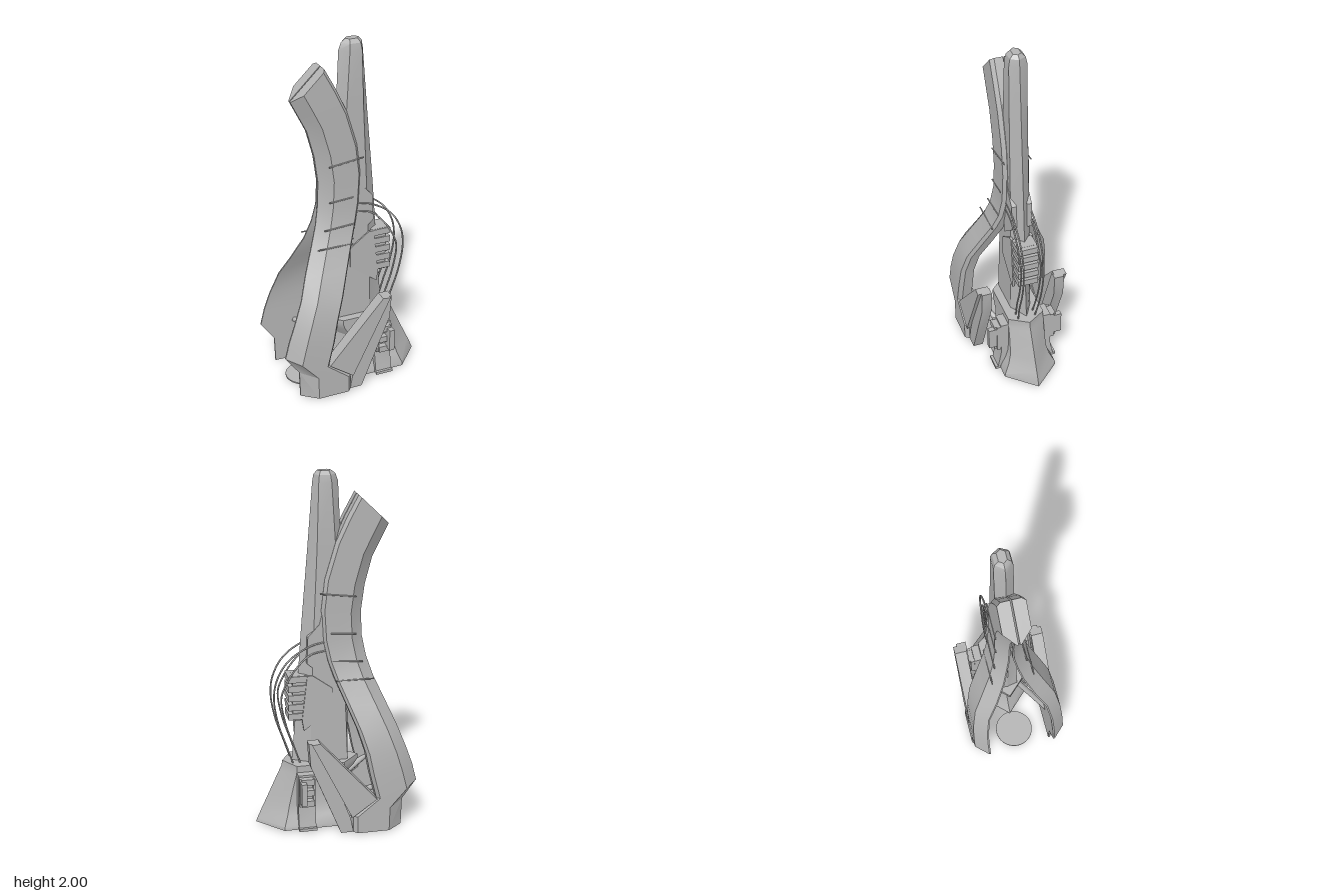
import * as THREE from 'three';
import { toCreasedNormals } from 'three/addons/utils/BufferGeometryUtils.js';

const grey = new THREE.MeshStandardMaterial({ color: 0xb4b4b4 });
grey.name = 'hull grey';

// Closed skin through equal-sized rings of [x, y, z] points, wound outward
function loft(rings, crease = 0.45) {
  const n = rings[0].length;
  const tris = [];
  const tri = (a, b, c) => tris.push([a, b, c]);
  for (let i = 0; i < rings.length - 1; i++) {
    for (let j = 0; j < n; j++) {
      const k = (j + 1) % n;
      tri(rings[i][j], rings[i][k], rings[i + 1][k]);
      tri(rings[i][j], rings[i + 1][k], rings[i + 1][j]);
    }
  }
  const last = rings[rings.length - 1];
  const mid = (r) => [0, 1, 2].map((a) => r.reduce((s, p) => s + p[a], 0) / n);
  const m0 = mid(rings[0]), m1 = mid(last);
  for (let j = 0; j < n; j++) {
    const k = (j + 1) % n;
    tri(m0, rings[0][k], rings[0][j]);
    tri(m1, last[j], last[k]);
  }
  let volume = 0;
  const V = (p) => new THREE.Vector3(...p);
  for (const [a, b, c] of tris) volume += V(a).dot(V(b).cross(V(c)));
  const out = tris.flatMap((t) => (volume < 0 ? [t[0], t[2], t[1]] : t)).flat();
  const g = new THREE.BufferGeometry();
  g.setAttribute('position', new THREE.Float32BufferAttribute(out, 3));
  return toCreasedNormals(g, crease);
}

function add(parent, name, geometry) {
  const m = new THREE.Mesh(geometry, grey);
  m.name = name;
  parent.add(m);
  return m;
}

function box(parent, name, x, y, z, w, h, d) {
  const m = add(parent, name, new THREE.BoxGeometry(w, h, d));
  m.position.set(x, y, z);
  return m;
}

// Flat plate drawn in x, y and running from z0 to z1
const plate = (pts, z0, z1) => loft([z0, z1].map((z) => pts.map(([x, y]) => [x, y, z])));

function rod(parent, name, a, b, r) {
  const A = new THREE.Vector3(...a), B = new THREE.Vector3(...b);
  const m = add(parent, name, new THREE.CylinderGeometry(r, r, A.distanceTo(B), 8));
  m.position.copy(A).add(B).multiplyScalar(0.5);
  m.quaternion.setFromUnitVectors(new THREE.Vector3(0, 1, 0), B.sub(A).normalize());
}

// Six-sided section, pointed at both ends along x
const hex = (y, xl, sl, sr, xr, z) => [
  [xl, y, 0], [sl, y, z], [sr, y, z], [xr, y, 0], [sr, y, -z], [sl, y, -z],
];

// Curved leg stations: back x, y, front x, y, inner z, outer z
const LEG = [
  [-0.31, 1.70, -0.135, 1.87, 0.004, 0.074],
  [-0.265, 1.61, -0.07, 1.75, 0.004, 0.075],
  [-0.22, 1.52, -0.01, 1.62, 0.004, 0.075],
  [-0.18, 1.37, 0.05, 1.42, 0.004, 0.075],
  [-0.16, 1.22, 0.07, 1.25, 0.004, 0.075],
  [-0.165, 1.08, 0.06, 1.08, 0.008, 0.077],
  [-0.185, 0.97, 0.035, 0.96, 0.025, 0.09],
  [-0.22, 0.86, 0.005, 0.87, 0.05, 0.118],
  [-0.28, 0.72, -0.05, 0.73, 0.105, 0.18],
  [-0.33, 0.60, -0.1, 0.6, 0.165, 0.235],
  [-0.38, 0.47, -0.14, 0.47, 0.187, 0.26],
  [-0.415, 0.37, -0.165, 0.34, 0.19, 0.268],
  [-0.44, 0.27, -0.2, 0.2, 0.19, 0.27],
  [-0.36, 0.16, -0.07, 0.1, 0.19, 0.27],
  [-0.355, 0.005, -0.07, 0.005, 0.19, 0.27],
];

function legRing([bx, by, fx, fy, zi, zo]) {
  const at = (t, z) => [bx + (fx - bx) * t, by + (fy - by) * t, z];
  const w = zo - zi;
  return [at(0, zi), at(0, zi + w * 0.12), at(0.3, zo), at(0.93, zo), at(1, zi + w * 0.7), at(1, zi)];
}

function buildSide() {
  const side = new THREE.Group();

  add(side, 'curvedLeg', loft(LEG.map(legRing)));

  // Raised seams across the leg: back x, y, front x, y, z
  for (const [x0, y0, x1, y1, z0, z1] of [
    [-0.12, 1.32, 0.08, 1.345, 0.075, 0.075], [-0.12, 1.11, 0.02, 1.12, 0.076, 0.076],
    [-0.155, 0.955, 0.02, 0.965, 0.092, 0.09], [-0.21, 0.86, 0.0, 0.86, 0.119, 0.119],
  ]) rod(side, 'legSeam', [x0, y0, z0], [x1, y1, z1], 0.004);

  // Buttress plates between the leg and the base
  add(side, 'slantedBrace', plate([[-0.2, 0.2], [0.12, 0.56], [0.165, 0.555], [-0.06, 0.1]], 0.195, 0.265));
  add(side, 'uprightBrace', plate(
    [[0.13, 0.555], [0.18, 0.555], [0.17, 0.42], [0.0, 0.005], [-0.07, 0.005], [-0.055, 0.09]], 0.188, 0.245));
  rod(side, 'innerStrut', [0.0, 0.14, 0.08], [-0.24, 0.26, 0.2], 0.016);

  // Vent unit beside the base
  const profile = [[0.1, 0.33], [0.15, 0.33], [0.15, 0.12], [0.172, 0.005], [0.145, 0.005], [0.1, 0.12]];
  add(side, 'ventHousing', loft([0.125, 0.222].map((x) => profile.map(([z, y]) => [x, y, z]))));
  for (const x of [0.135, 0.212]) box(side, 'ventFrame', x, 0.235, 0.16, 0.014, 0.17, 0.025);
  for (const y of [0.17, 0.235, 0.3]) box(side, 'ventSlat', 0.173, y, 0.168, 0.07, 0.035, 0.035);
  box(side, 'ventBracket', 0.2, 0.24, 0.19, 0.03, 0.13, 0.06);
  box(side, 'ventFoot', 0.173, 0.012, 0.165, 0.1, 0.016, 0.04);

  // Side panel on the spire
  add(side, 'spirePanel', plate([[0.15, 0.88], [0.12, 0.88], [0.01, 0.8], [0.01, 0.68], [0.17, 0.56], [0.18, 0.62]], 0.05, 0.064));
  add(side, 'collarPanel', plate([[0.06, 1.25], [0.08, 1.17], [0.145, 1.1], [0.15, 0.95], [0.03, 0.85], [0.0, 1.05]], 0.03, 0.058));

  // Looping cables
  for (const [reach, top, foot] of [[0.335, 1.07, 0.23], [0.295, 1.02, 0.19]]) {
    const path = new THREE.CatmullRomCurve3([
      [0.04, top], [0.13, top - 0.02], [reach - 0.08, top - 0.1], [reach - 0.015, top - 0.21],
      [reach, 0.75], [reach - 0.025, 0.6], [foot + 0.04, 0.48], [foot, 0.36],
    ].map(([x, y], i) => new THREE.Vector3(x, y, i < 7 ? 0.057 : 0.05)));
    add(side, 'cable', new THREE.TubeGeometry(path, 40, 0.005, 6));
  }
  return side;
}

export function createModel() {
  const model = new THREE.Group();
  model.name = 'tower';

  // Tall pointed spire
  add(model, 'spire', loft([
    hex(0.3, -0.09, -0.08, 0.13, 0.235, 0.06),
    hex(0.6, -0.09, -0.07, 0.13, 0.21, 0.058),
    hex(1.15, -0.08, -0.04, 0.11, 0.17, 0.053),
    hex(1.6, -0.05, -0.01, 0.09, 0.132, 0.051),
    hex(1.94, -0.034, 0.01, 0.08, 0.105, 0.05),
    hex(1.98, -0.02, 0.015, 0.075, 0.098, 0.042),
    hex(2.0, 0.005, 0.02, 0.065, 0.08, 0.022),
  ]));

  // Flared base with pointed prow
  add(model, 'base', loft([
    hex(0.005, -0.15, 0.0, 0.3, 0.44, 0.155),
    hex(0.025, -0.15, 0.0, 0.3, 0.432, 0.153),
    hex(0.08, -0.1, 0.0, 0.28, 0.408, 0.125),
    hex(0.14, -0.07, 0.0, 0.265, 0.38, 0.108),
    hex(0.25, -0.07, 0.0, 0.24, 0.33, 0.105),
    hex(0.31, -0.13, -0.04, 0.225, 0.302, 0.105),
    hex(0.34, -0.15, -0.05, 0.22, 0.288, 0.105),
    hex(0.368, -0.15, -0.05, 0.22, 0.285, 0.105),
  ]));

  // Ground disc behind the base
  const disc = add(model, 'groundDisc', new THREE.CylinderGeometry(0.11, 0.11, 0.008, 40));
  disc.position.set(-0.25, 0.004, 0);

  // Finned cooler on the front of the spire
  box(model, 'coolerCore', 0.19, 0.75, 0, 0.08, 0.26, 0.1);
  for (let i = 0; i < 5; i++) box(model, 'coolerFin', 0.2, 0.645 + i * 0.054, 0, 0.11, 0.036, 0.116);

  const left = buildSide();
  left.name = 'leftSide';
  const right = buildSide();
  right.name = 'rightSide';
  right.scale.z = -1;
  model.add(left, right);
  return model;
}
